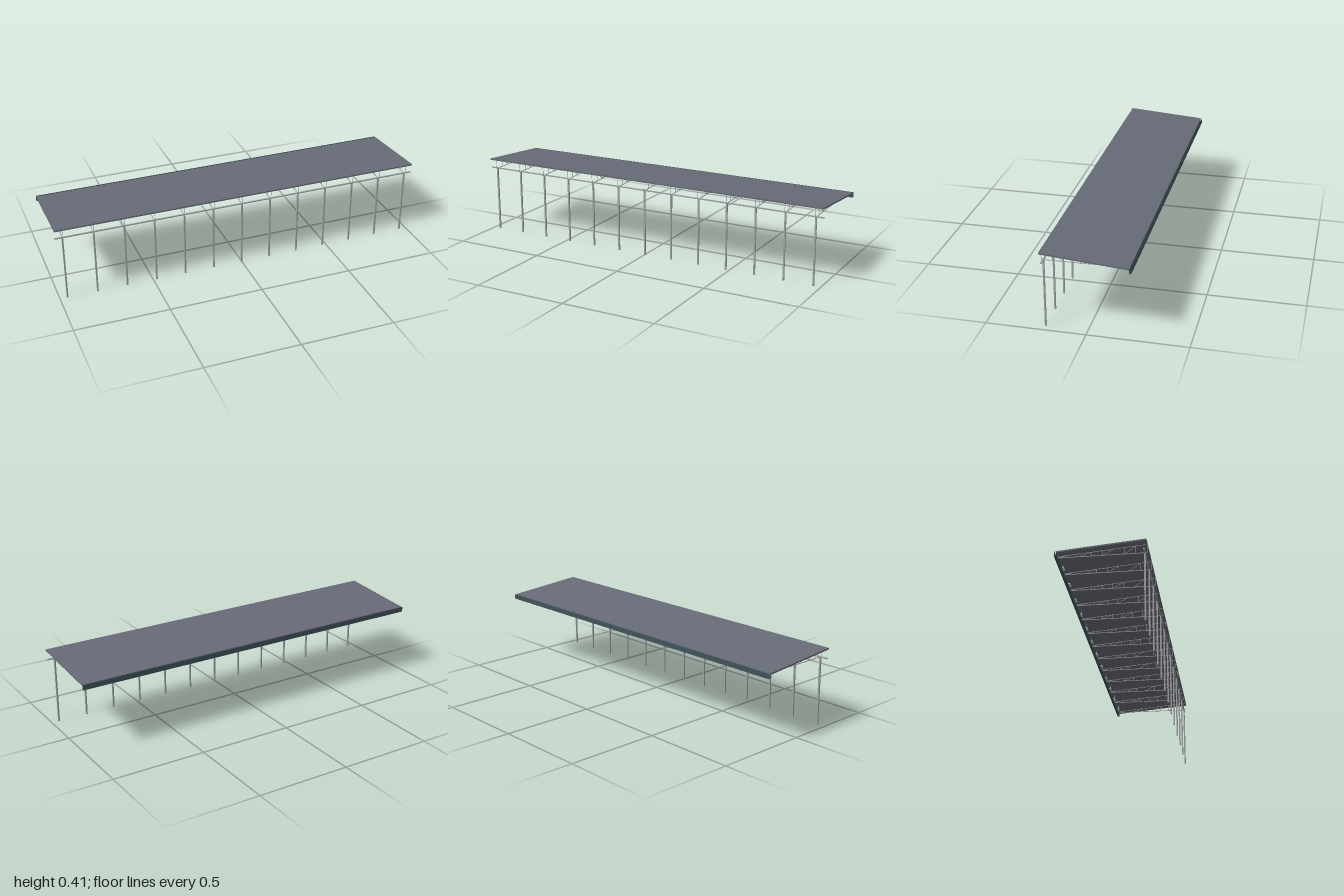
import * as THREE from 'three';

const paint = (color) => new THREE.MeshStandardMaterial({ color });
const roofPaint = paint(0x676b77);
const steel = paint(0xa0a2a6);
const gutterPaint = paint(0x3f5259);
const lampPaint = paint(0xcccccc);

function box(name, w, h, d, x, y, z, material) {
  const mesh = new THREE.Mesh(new THREE.BoxGeometry(w, h, d), material);
  mesh.name = name;
  mesh.position.set(x, y, z);
  return mesh;
}

// Square bar lying in the y-z plane, from [z, y] to [z, y]
function bar(name, a, b, size) {
  const dz = b[0] - a[0], dy = b[1] - a[1];
  const mesh = box(name, size, size, Math.hypot(dz, dy), 0, (a[1] + b[1]) / 2, (a[0] + b[0]) / 2, steel);
  mesh.rotation.x = -Math.atan2(dy, dz);
  return mesh;
}

// Closed [z, y] profile swept along x over the full length
function sweep(name, points, length, material) {
  const shape = new THREE.Shape(points.map(([z, y]) => new THREE.Vector2(-z, y)));
  const geometry = new THREE.ExtrudeGeometry(shape, { depth: length, bevelEnabled: false });
  geometry.rotateY(Math.PI / 2).translate(-length / 2, 0, 0);
  const mesh = new THREE.Mesh(geometry, material);
  mesh.name = name;
  return mesh;
}

const topY = (z) => 0.4035 + (z - 0.22) * 0.076;
const bottomY = (z) => 0.358 + (0.22 - z) * 0.015;

function createTruss() {
  const truss = new THREE.Group();
  truss.name = 'truss';
  truss.add(bar('topChord', [0.22, topY(0.22)], [-0.21, topY(-0.21)], 0.003));
  truss.add(bar('bottomChord', [0.22, bottomY(0.22)], [-0.21, bottomY(-0.21)], 0.003));
  // Uprights, with a diagonal in every second panel
  const panel = 0.0535;
  for (let i = 0; i < 8; i++) {
    const z = 0.2195 - i * panel;
    truss.add(bar('upright', [z, bottomY(z)], [z, topY(z)], 0.0018));
    if (i % 2) truss.add(bar('diagonal', [z, topY(z)], [z - panel, bottomY(z - panel)], 0.0018));
  }
  return truss;
}

export function createModel() {
  const model = new THREE.Group();
  model.name = 'canopy';

  // Sloping roof sheet
  model.add(sweep('roof', [[0.221, 0.404], [0.221, 0.412], [-0.211, 0.3795], [-0.211, 0.3715]], 2, roofPaint));

  // Open gutter along the low back edge
  model.add(sweep('gutter', [
    [-0.209, 0.353], [-0.209, 0.372], [-0.2105, 0.372], [-0.2105, 0.355],
    [-0.2185, 0.355], [-0.2185, 0.379], [-0.22, 0.379], [-0.22, 0.353],
  ], 2, gutterPaint));

  // Long beam on top of the posts
  model.add(box('frontBeam', 2, 0.006, 0.007, 0, 0.359, 0.209, steel));

  // Posts and trusses
  for (let i = -6; i <= 6; i++) {
    const x = i * 0.16;
    model.add(box('post', 0.008, 0.358, 0.008, x, 0.179, 0.209, steel));
    const truss = createTruss();
    truss.position.x = x;
    model.add(truss);
  }

  // Lamps hung between the trusses near the back edge
  for (let i = 0; i < 12; i++) {
    const x = -0.88 + i * 0.16;
    model.add(box('lamp', 0.035, 0.004, 0.01, x, 0.351, -0.197, lampPaint));
    for (const side of [-1, 1]) {
      model.add(box('lampHanger', 0.001, 0.02, 0.001, x + side * 0.012, 0.3625, -0.197, steel));
    }
  }
  return model;
}
